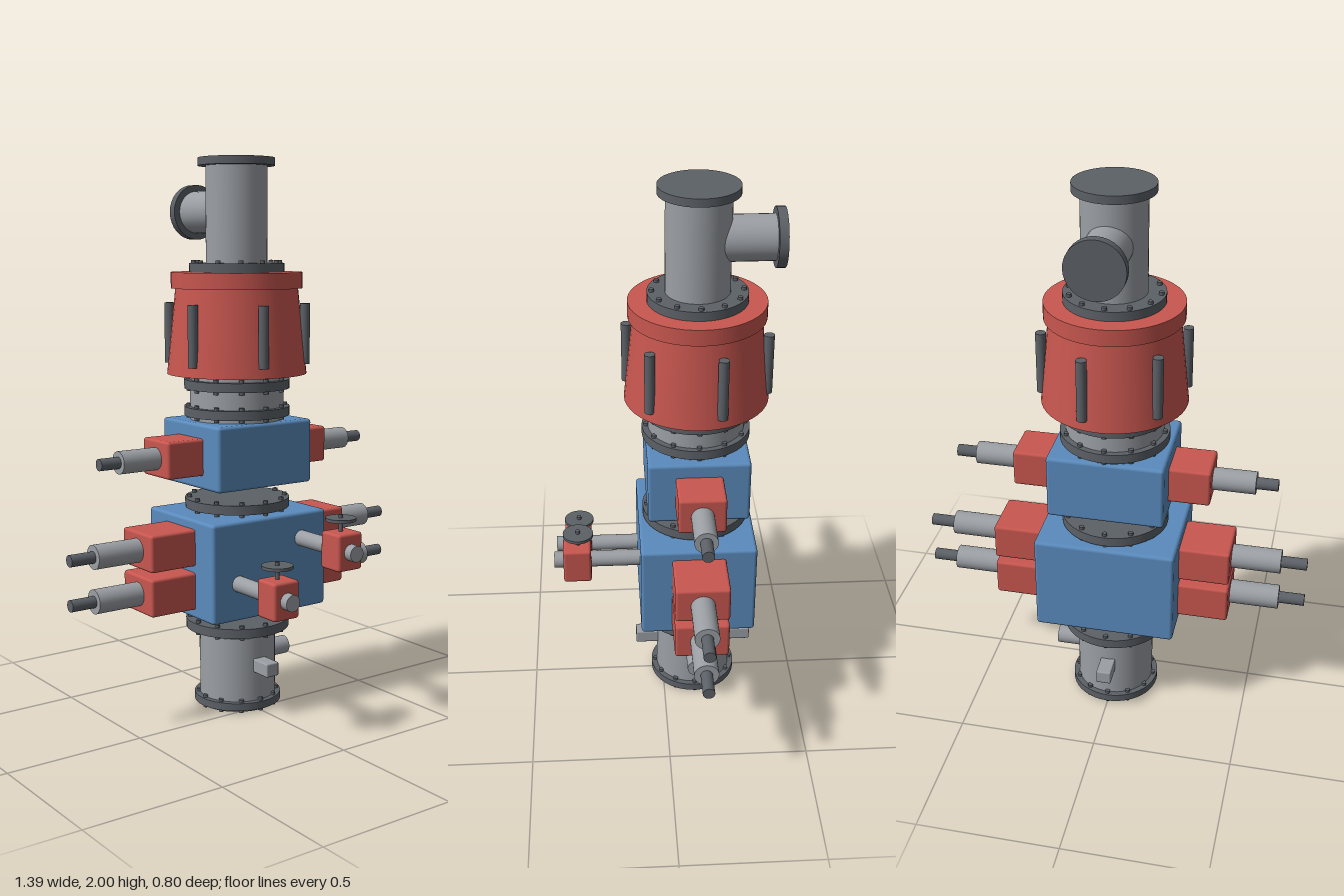
import * as THREE from 'three';
import { RoundedBoxGeometry } from 'three/addons/geometries/RoundedBoxGeometry.js';

const material = (name, color) => {
  const m = new THREE.MeshStandardMaterial({ color });
  m.name = name;
  return m;
};

export function createModel() {
  const red = material('red paint', 0xc8564f);
  const blue = material('blue paint', 0x5a8bbd);
  const steel = material('light steel', 0x9b9fa4);
  const dark = material('dark steel', 0x5c6167);

  const model = new THREE.Group();
  model.name = 'wellheadStack';
  // The stack's axis sits slightly behind the centre
  const stack = new THREE.Group();
  stack.name = 'stack';
  stack.position.z = -0.117;
  model.add(stack);

  const add = (name, geometry, mat, x = 0, y = 0, z = 0, parent = stack) => {
    const mesh = new THREE.Mesh(geometry, mat);
    mesh.name = name;
    mesh.position.set(x, y, z);
    parent.add(mesh);
    return mesh;
  };
  // Upright cylinder between two heights
  const column = (name, r, y0, y1, mat, rTop = r, x = 0, z = 0) =>
    add(name, new THREE.CylinderGeometry(rTop, r, y1 - y0, 48), mat, x, (y0 + y1) / 2, z);
  // Horizontal cylinder along x or z between two positions
  const pipe = (name, axis, r, a, b, y, mat, offset = 0) => {
    const g = new THREE.CylinderGeometry(r, r, Math.abs(b - a), 32);
    const mid = (a + b) / 2;
    if (axis === 'x') return add(name, g.rotateZ(Math.PI / 2), mat, mid, y, offset);
    return add(name, g.rotateX(Math.PI / 2), mat, offset, y, mid);
  };
  const box = (name, w, h, d, mat, x, y, z, r = 0.01) =>
    add(name, new RoundedBoxGeometry(w, h, d, 2, r), mat, x, y, z);

  // Flange disc with a ring of through bolts
  const flange = (name, r, y0, y1) => {
    column(name, r, y0, y1, dark);
    const g = new THREE.CylinderGeometry(0.009, 0.009, y1 - y0 + 0.02, 8);
    for (let i = 0; i < 12; i++) {
      const a = (i * Math.PI) / 6;
      add(name + 'Bolt', g, dark, Math.cos(a) * (r - 0.016), (y0 + y1) / 2, Math.sin(a) * (r - 0.016));
    }
  };

  // Base spool with its outlets
  column('baseSpool', 0.14, 0.005, 0.28, steel);
  flange('baseFlange', 0.16, 0.015, 0.043);
  pipe('sideOutlet', 'x', 0.034, 0.1, 0.22, 0.177, steel);
  box('crossBar', 0.054, 0.05, 0.44, steel, 0, 0.177, 0, 0.005);

  // Body blocks and the flanges between them
  flange('lowerFlange', 0.191, 0.298, 0.332);
  box('lowerBlock', 0.5, 0.357, 0.414, blue, 0, 0.561, 0, 0.012);
  flange('middleFlange', 0.191, 0.75, 0.784);
  box('upperBlock', 0.41, 0.232, 0.358, blue, 0, 0.957, 0, 0.012);
  flange('neckLowerFlange', 0.191, 1.087, 1.12);
  column('neck', 0.17, 1.07, 1.235, steel);
  flange('neckUpperFlange', 0.191, 1.185, 1.218);

  // Annular housing: tapered body, cap and six upright rods
  column('annularBody', 0.252, 1.238, 1.545, red, 0.22);
  column('annularCap', 0.236, 1.543, 1.6, red);
  for (let i = 0; i < 6; i++) {
    const a = THREE.MathUtils.degToRad(43.5 + i * 60);
    column('annularRod', 0.018, 1.273, 1.49, dark, 0.018, Math.cos(a) * 0.246, Math.sin(a) * 0.246);
  }

  // Top riser with its rear branch
  flange('riserFlange', 0.171, 1.6, 1.632);
  column('riser', 0.11, 1.62, 1.975, steel);
  column('riserCap', 0.137, 1.972, 2, dark);
  pipe('branchPipe', 'z', 0.077, -0.03, -0.255, 1.815, steel);
  pipe('branchFlange', 'z', 0.1, -0.252, -0.283, 1.815, dark);

  // Opposed rams: bonnet, cylinder and rod on both sides
  const rams = [
    { y: 0.64, x: [0.24, 0.43, 0.605, 0.697], h: 0.132, d: 0.192, r: 0.043 },
    { y: 0.483, x: [0.24, 0.43, 0.605, 0.697], h: 0.134, d: 0.192, r: 0.043 },
    { y: 0.957, x: [0.195, 0.35, 0.5, 0.576], h: 0.132, d: 0.165, r: 0.04 },
  ];
  for (const { y, x, h, d, r } of rams) {
    for (const s of [-1, 1]) {
      box('ramBonnet', x[1] - x[0], h, d, red, (s * (x[0] + x[1])) / 2, y, 0);
      pipe('ramCylinder', 'x', r, s * (x[1] - 0.01), s * x[2], y, steel);
      pipe('ramRod', 'x', 0.021, s * (x[2] - 0.01), s * x[3], y, dark);
    }
  }

  // Front lines, each with a valve and handwheel
  for (const [x, y] of [[-0.14, 0.517], [0.137, 0.645]]) {
    pipe('frontLine', 'z', 0.029, 0.19, 0.516, y, steel, x);
    box('valveBody', 0.106, 0.132, 0.1, red, x, y, 0.433);
    column('valveStem', 0.008, y + 0.06, y + 0.125, dark, 0.008, x, 0.428);
    column('handwheel', 0.054, y + 0.103, y + 0.114, dark, 0.054, x, 0.428);
  }

  return model;
}
